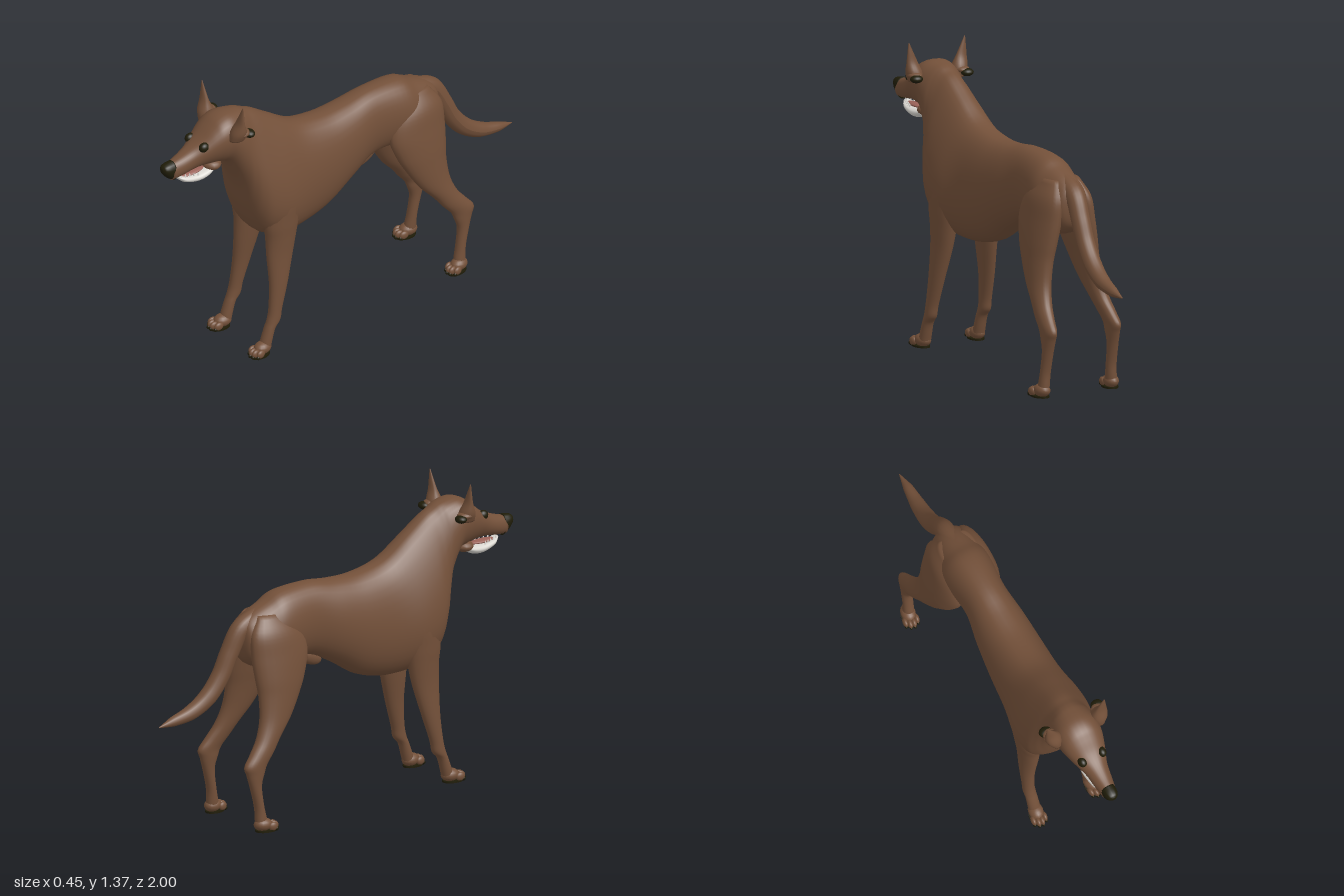
import * as THREE from 'three';

const mat = (name, color) => {
  const m = new THREE.MeshStandardMaterial({ color });
  m.name = name;
  return m;
};

// Smooths a table of section rows with a spline through every column.
function refine(rows, steps) {
  const col = (k) => new THREE.CatmullRomCurve3(
    rows.map((r) => new THREE.Vector3(r[0], r[k], r[k + 1])), false, 'catmullrom', 0.5);
  const a = col(1), b = col(3), n = (rows.length - 1) * steps, out = [];
  for (let i = 0; i <= n; i++) {
    const p = a.getPoint(i / n), q = b.getPoint(i / n);
    out.push([p.x, p.y, p.z, q.y, q.z]);
  }
  return out;
}

// Closed skin over rings; rings run counter-clockwise about the direction of travel.
function loft(rows, ring, sides = 28, steps = 5) {
  const fine = refine(rows, steps), pos = [], idx = [];
  fine.forEach((r) => {
    for (let j = 0; j < sides; j++) pos.push(...ring(r, (j / sides) * Math.PI * 2));
  });
  for (let i = 0; i < fine.length - 1; i++) {
    for (let j = 0; j < sides; j++) {
      const k = (j + 1) % sides, a = i * sides + j, b = i * sides + k;
      idx.push(a, b, a + sides, b, b + sides, a + sides);
    }
  }
  // end caps
  [0, fine.length - 1].forEach((i) => {
    const c = pos.length / 3, mid = [0, 0, 0];
    for (let j = 0; j < sides; j++)
      for (let k = 0; k < 3; k++) mid[k] += pos[(i * sides + j) * 3 + k] / sides;
    pos.push(...mid);
    for (let j = 0; j < sides; j++) {
      const a = i * sides + j, b = i * sides + ((j + 1) % sides);
      if (i) idx.push(c, a, b); else idx.push(c, b, a);
    }
  });
  const g = new THREE.BufferGeometry();
  g.setAttribute('position', new THREE.Float32BufferAttribute(pos, 3));
  g.setIndex(idx);
  g.computeVertexNormals();
  return g;
}

// Row: z, bottom, top, half width low, half width high (pear-shaped section)
const trunkRing = ([z, y0, y1, wLow, wHigh], t) => {
  const c = Math.cos(t), s = Math.sin(t);
  const w = THREE.MathUtils.lerp(wLow, wHigh, (1 + s) / 2);
  return [Math.sign(c) * Math.abs(c) ** 0.85 * w, (y0 + y1) / 2 + (s * (y1 - y0)) / 2, z];
};

// Row: y, z back, z front, x inner, x outer (horizontal oval section)
const limbRing = (side) => ([y, z0, z1, x0, x1], t) => [
  (side * (x0 + x1)) / 2 + (Math.cos(t) * (x1 - x0)) / 2,
  y,
  (z0 + z1) / 2 - (Math.sin(t) * (z1 - z0)) / 2,
];

const TRUNK = [
  [-0.562, 0.82, 0.89, 0.02, 0.02], [-0.545, 0.76, 0.935, 0.07, 0.065],
  [-0.5, 0.72, 0.97, 0.1, 0.085], [-0.42, 0.7, 1.005, 0.12, 0.1],
  [-0.34, 0.71, 1.04, 0.12, 0.11], [-0.18, 0.71, 1.05, 0.1, 0.105],
  [-0.04, 0.645, 1.035, 0.125, 0.12], [0.1, 0.56, 1.035, 0.14, 0.13],
  [0.25, 0.527, 1.07, 0.165, 0.125], [0.38, 0.54, 1.155, 0.215, 0.11],
  [0.48, 0.58, 1.225, 0.215, 0.1], [0.53, 0.655, 1.25, 0.18, 0.1],
  [0.56, 0.75, 1.265, 0.14, 0.105], [0.59, 0.89, 1.273, 0.115, 0.11],
  [0.65, 1.02, 1.28, 0.1, 0.115], [0.7, 1.045, 1.268, 0.09, 0.112],
  [0.74, 1.053, 1.24, 0.078, 0.103], [0.79, 1.058, 1.198, 0.06, 0.085],
  [0.84, 1.058, 1.168, 0.05, 0.058], [0.9, 1.05, 1.145, 0.045, 0.043],
  [0.955, 1.045, 1.13, 0.036, 0.032],
];
const NOSE = [
  [0.94, 1.038, 1.137, 0.034, 0.036], [0.97, 1.058, 1.134, 0.03, 0.034],
  [0.99, 1.08, 1.128, 0.022, 0.026], [1.0, 1.095, 1.118, 0.01, 0.012],
];
const JAW = [
  [0.73, 1.005, 1.035, 0.035, 0.045], [0.77, 0.988, 1.03, 0.04, 0.052],
  [0.82, 0.985, 1.027, 0.038, 0.05], [0.88, 1.003, 1.035, 0.03, 0.04],
  [0.912, 1.027, 1.045, 0.012, 0.018],
];
const FRONT_LEG = [
  [0.02, 0.495, 0.55, 0.112, 0.168], [0.06, 0.485, 0.54, 0.112, 0.168],
  [0.12, 0.467, 0.518, 0.113, 0.167], [0.155, 0.437, 0.505, 0.112, 0.168],
  [0.21, 0.425, 0.492, 0.11, 0.166], [0.33, 0.387, 0.482, 0.097, 0.163],
  [0.47, 0.347, 0.485, 0.075, 0.158], [0.57, 0.325, 0.487, 0.062, 0.162],
  [0.66, 0.31, 0.495, 0.06, 0.168], [0.78, 0.3, 0.48, 0.06, 0.168],
  [0.9, 0.31, 0.42, 0.06, 0.12],
];
const HIND_LEG = [
  [0.02, -0.602, -0.54, 0.15, 0.205], [0.06, -0.602, -0.545, 0.148, 0.2],
  [0.12, -0.605, -0.558, 0.146, 0.196], [0.21, -0.627, -0.568, 0.143, 0.194],
  [0.27, -0.646, -0.55, 0.138, 0.195], [0.31, -0.657, -0.532, 0.135, 0.196],
  [0.36, -0.618, -0.49, 0.124, 0.194], [0.42, -0.573, -0.445, 0.108, 0.188],
  [0.5, -0.543, -0.375, 0.088, 0.18], [0.6, -0.535, -0.312, 0.065, 0.172],
  [0.68, -0.543, -0.272, 0.045, 0.165], [0.78, -0.55, -0.245, 0.025, 0.15],
  [0.88, -0.543, -0.28, 0.02, 0.128], [0.96, -0.49, -0.36, 0.02, 0.08],
];
const EAR = [
  [1.19, 0.615, 0.695, 0.08, 0.14], [1.23, 0.615, 0.69, 0.078, 0.156],
  [1.28, 0.635, 0.668, 0.1, 0.155], [1.33, 0.643, 0.658, 0.124, 0.151],
  [1.37, 0.648, 0.652, 0.143, 0.147],
];
// Tail centre line with radius: x, y, z, r
const TAIL = [
  [0, 0.95, -0.45, 0.04], [0, 0.9, -0.55, 0.045], [0.005, 0.8, -0.61, 0.043],
  [0.007, 0.7, -0.66, 0.042], [0.01, 0.615, -0.73, 0.041], [0.015, 0.56, -0.82, 0.035],
  [0.02, 0.535, -0.92, 0.023], [0.02, 0.522, -1.0, 0.002],
];

function tailGeometry() {
  const n = 48, sides = 16;
  const curve = new THREE.CatmullRomCurve3(TAIL.map((p) => new THREE.Vector3(p[0], p[1], p[2])));
  const g = new THREE.TubeGeometry(curve, n, 1, sides, false);
  const p = g.attributes.position, v = new THREE.Vector3();
  for (let i = 0; i <= n; i++) {
    const c = curve.getPointAt(i / n);
    const t = curve.getUtoTmapping(i / n) * (TAIL.length - 1);
    const k = Math.min(Math.floor(t), TAIL.length - 2);
    const r = THREE.MathUtils.lerp(TAIL[k][3], TAIL[k + 1][3], t - k);
    for (let j = 0; j <= sides; j++) {
      const q = i * (sides + 1) + j;
      v.fromBufferAttribute(p, q).sub(c).multiplyScalar(r).add(c);
      p.setXYZ(q, v.x, v.y, v.z);
    }
  }
  g.computeVertexNormals();
  return g;
}

export function createModel() {
  const coat = mat('brown coat', 0x735039);
  const dark = mat('dark skin', 0x1f1c08);
  const white = mat('white jaw', 0xd9d6d0);
  const pink = mat('tongue pink', 0x9a6258);
  const dog = new THREE.Group();
  dog.name = 'dog';

  const add = (name, geo, m, parent = dog) => {
    const mesh = new THREE.Mesh(geo, m);
    mesh.name = name;
    parent.add(mesh);
    return mesh;
  };
  const blob = (name, m, p, r, parent) => {
    const mesh = add(name, new THREE.SphereGeometry(1, 16, 12), m, parent);
    mesh.position.set(...p);
    mesh.scale.set(...r);
    return mesh;
  };

  // Trunk, neck and head are one skin
  add('body', loft(TRUNK, trunkRing, 36), coat);
  add('nose', loft(NOSE, trunkRing, 20), dark);
  add('lowerJaw', loft(JAW, trunkRing, 20), white);
  blob('jawHinge', coat, [0, 1.035, 0.72], [0.055, 0.028, 0.045]);
  blob('tongue', pink, [0, 1.034, 0.83], [0.026, 0.009, 0.07]);
  add('tail', tailGeometry(), coat);
  blob('sheath', coat, [0, 0.695, -0.165], [0.026, 0.035, 0.082]).rotation.x = 0.45;

  // Paw with toes, claws and a dark sole; z is the middle of the foot
  const paw = (name, x, z, turn) => {
    const foot = new THREE.Group();
    foot.name = name;
    foot.position.set(x, 0, z);
    foot.rotation.y = turn;
    dog.add(foot);
    blob('pad', coat, [0, 0.032, -0.015], [0.034, 0.03, 0.045], foot);
    const sole = add('sole', new THREE.CylinderGeometry(1, 1, 0.008, 20), dark, foot);
    sole.position.y = 0.004;
    sole.scale.set(0.036, 1, 0.052);
    [-1.5, -0.5, 0.5, 1.5].forEach((k) => {
      const reach = Math.abs(k) > 1 ? 0.022 : 0.035;
      blob('toe', coat, [k * 0.018, 0.024, reach], [0.012, 0.02, 0.023], foot);
      blob('claw', dark, [k * 0.019, 0.012, reach + 0.017], [0.007, 0.01, 0.01], foot);
    });
  };

  [['left', 1], ['right', -1]].forEach(([n, s]) => {
    add(`${n}FrontLeg`, loft(FRONT_LEG, limbRing(s), 20), coat);
    add(`${n}HindLeg`, loft(HIND_LEG, limbRing(s), 24), coat);
    paw(`${n}FrontPaw`, s * 0.143, 0.55, s * 0.1);
    paw(`${n}HindPaw`, s * 0.182, -0.55, s * 0.15);
    add(`${n}Ear`, loft(EAR, limbRing(s), 16), coat);
    blob(`${n}EarFlap`, coat, [s * 0.122, 1.222, 0.64], [0.034, 0.018, 0.042]);
    blob(`${n}EarHollow`, dark, [s * 0.132, 1.212, 0.605], [0.03, 0.018, 0.026]);
    blob(`${n}Eye`, dark, [s * 0.05, 1.173, 0.797], [0.02, 0.023, 0.026]);
    // lower teeth
    for (let i = 0; i < 5; i++) {
      const tooth = add(`${n}Tooth`, new THREE.ConeGeometry(0.005, 0.018, 6), white);
      tooth.position.set(s * (0.014 + 0.006 * i), 1.046 - 0.002 * i, 0.9 - 0.02 * i);
    }
  });
  return dog;
}
